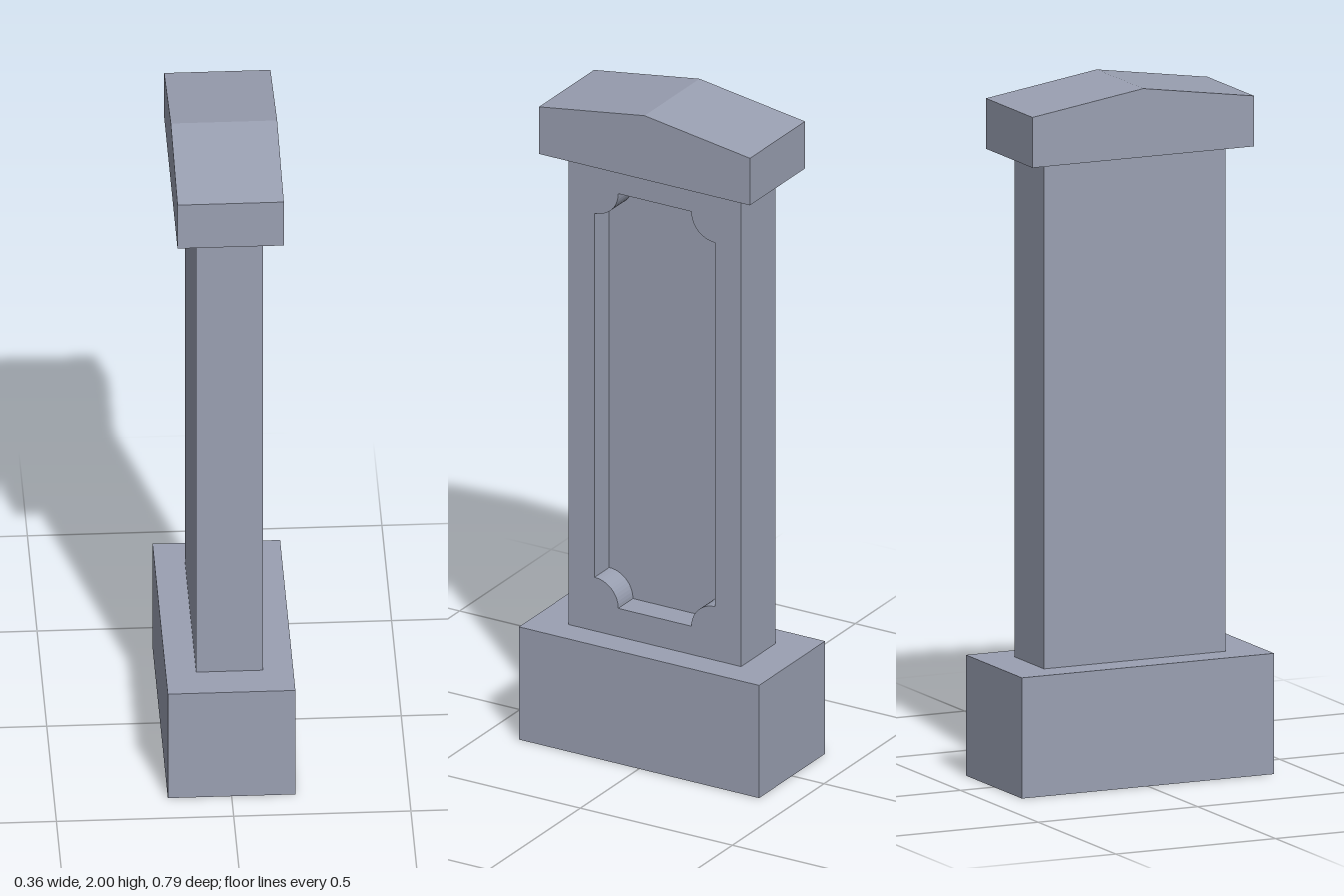
import * as THREE from 'three';

const material = new THREE.MeshStandardMaterial({ color: 0x9aa0b2, flatShading: true });

// Outline given in (-z, y), extruded along x from x0 to x1
function extrudeX(name, shape, x0, x1) {
  const geometry = new THREE.ExtrudeGeometry(shape, { depth: x1 - x0, bevelEnabled: false, curveSegments: 6 });
  geometry.rotateY(Math.PI / 2).translate(x0, 0, 0);
  const mesh = new THREE.Mesh(geometry, material);
  mesh.name = name;
  return mesh;
}

function polygon(points) {
  return new THREE.Shape(points.map(([u, y]) => new THREE.Vector2(u, y)));
}

function rectangle(w, y0, y1) {
  return polygon([[-w, y0], [w, y0], [w, y1], [-w, y1]]);
}

// Rectangle whose corners are scooped out by quarter circles
function scoopedPanel(w, y0, y1, r) {
  const path = new THREE.Path();
  const q = Math.PI / 2;
  path.moveTo(-w + r, y0);
  path.absarc(w, y0, r, 2 * q, q, true);
  path.absarc(w, y1, r, 3 * q, 2 * q, true);
  path.absarc(-w, y1, r, 0, -q, true);
  path.absarc(-w, y0, r, q, 0, true);
  return path;
}

export function createModel() {
  const group = new THREE.Group();
  group.name = 'pillar';
  const baseTop = 0.347, capBottom = 1.803;
  const postX = 0.094, postZ = 0.284, recess = 0.08;

  // Plinth
  group.add(extrudeX('base', rectangle(0.395, 0, baseTop), -0.18, 0.18));

  // Post: plain slab behind, framed recessed panel on the +x side
  const post = new THREE.Group();
  post.name = 'post';
  const frame = rectangle(postZ, baseTop, capBottom);
  frame.holes.push(scoopedPanel(0.198, 0.434, 1.711, 0.078));
  post.add(
    extrudeX('backSlab', rectangle(postZ, baseTop, capBottom), -postX, postX - recess),
    extrudeX('panelFrame', frame, postX - recess, postX)
  );
  group.add(post);

  // Gabled cap
  const gable = polygon([[-0.347, capBottom], [0.347, capBottom], [0.347, 1.948], [0, 2], [-0.347, 1.948]]);
  group.add(extrudeX('cap', gable, -0.15, 0.15));

  return group;
}
